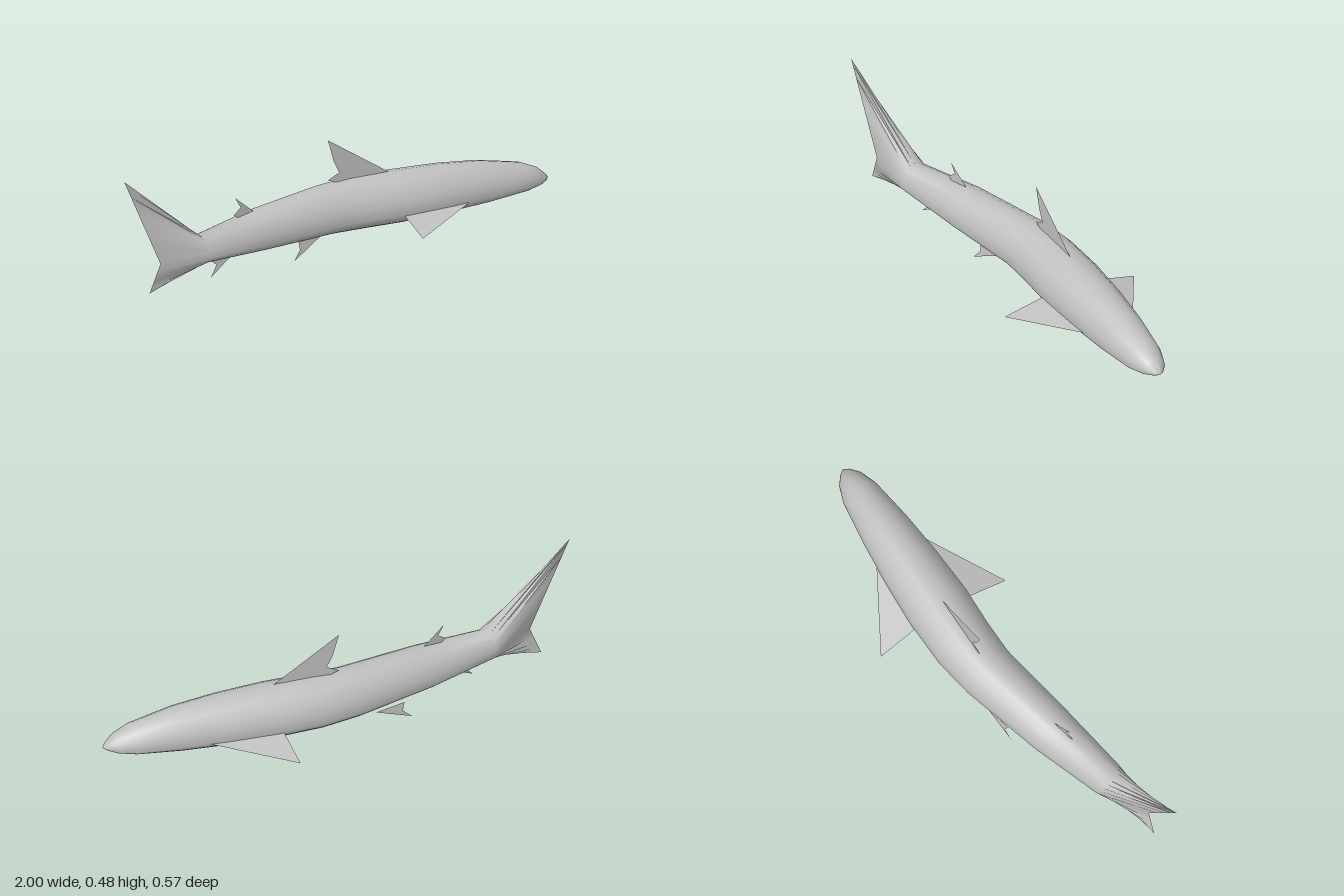
import * as THREE from 'three';
import { toCreasedNormals } from 'three/addons/utils/BufferGeometryUtils.js';

const SEGMENTS = 20;

// Body stations, nose to tail: [x, z, half width, top y, middle y, bottom y, turn]
const STATIONS = [
  [1.0, 0, 0, 0.112, 0.112, 0.112, 0],
  [0.985, 0, 0.022, 0.13, 0.11, 0.104, 0],
  [0.95, 0, 0.05, 0.16, 0.108, 0.095, 0],
  [0.88, 0, 0.075, 0.19, 0.107, 0.082, 0],
  [0.7, 0, 0.1, 0.226, 0.107, 0.065, 0],
  [0.52, 0, 0.117, 0.242, 0.107, 0.056, 0],
  [0.32, 0, 0.128, 0.248, 0.107, 0.051, 0],
  [0.14, 0, 0.123, 0.247, 0.107, 0.052, 0.08],
  [-0.005, 0.014, 0.113, 0.241, 0.107, 0.056, 0.22],
  [-0.34, 0.09, 0.097, 0.223, 0.108, 0.066, 0.27],
  [-0.63, 0.163, 0.07, 0.188, 0.112, 0.081, 0.29],
];

// Trailing edge of the tail
const UPPER_TIP = new THREE.Vector3(-1, 0.487, 0.236);
const FORK = new THREE.Vector3(-0.83, 0.12, 0.218);
const LOWER_TIP = new THREE.Vector3(-0.875, 0.006, 0.2125);

function bodyGeometry() {
  const pos = [], index = [];
  for (const [x, z, w, top, mid, bottom, turn] of STATIONS) {
    for (let j = 0; j < SEGMENTS; j++) {
      const a = (j / SEGMENTS) * Math.PI * 2, s = Math.sin(a), side = w * Math.cos(a);
      pos.push(x + side * Math.sin(turn), mid + s * (s > 0 ? top - mid : mid - bottom), z + side * Math.cos(turn));
    }
  }
  // Last ring closes flat onto the forked edge
  for (let j = 0; j < SEGMENTS; j++) {
    const s = Math.sin((j / SEGMENTS) * Math.PI * 2);
    pos.push(...FORK.clone().lerp(s > 0 ? UPPER_TIP : LOWER_TIP, Math.abs(s)).toArray());
  }
  for (let i = 0; i < STATIONS.length; i++) {
    for (let j = 0; j < SEGMENTS; j++) {
      const k = (j + 1) % SEGMENTS;
      const a = i * SEGMENTS + j, b = i * SEGMENTS + k, c = a + SEGMENTS, d = b + SEGMENTS;
      if (i > 0) index.push(a, b, c);
      index.push(b, d, c);
    }
  }
  const g = new THREE.BufferGeometry();
  g.setAttribute('position', new THREE.Float32BufferAttribute(pos, 3));
  g.setIndex(index);
  return toCreasedNormals(g, 1.0);
}

// Thin fin: a fan from its first corner
function finGeometry(points) {
  const index = [];
  for (let i = 1; i < points.length - 1; i++) index.push(0, i, i + 1);
  const g = new THREE.BufferGeometry();
  g.setAttribute('position', new THREE.Float32BufferAttribute(points.flat(), 3));
  g.setIndex(index);
  g.computeVertexNormals();
  return g;
}

export function createModel() {
  const model = new THREE.Group();
  const grey = new THREE.MeshStandardMaterial({ color: 0xc0c0c0, side: THREE.DoubleSide });
  grey.name = 'grey skin';
  const add = (name, geometry) => {
    const mesh = new THREE.Mesh(geometry, grey);
    mesh.name = name;
    model.add(mesh);
  };

  add('body and tail', bodyGeometry());

  // Fins on the back and under the tail
  add('dorsal fin', finGeometry([
    [0.3, 0.246, 0], [0.03, 0.418, 0], [0.055, 0.33, 0], [0.08, 0.28, 0], [0.03, 0.255, 0], [0.08, 0.235, 0]]));
  add('second dorsal fin', finGeometry([
    [-0.35, 0.22, 0.093], [-0.44, 0.292, 0.111], [-0.415, 0.25, 0.107], [-0.45, 0.225, 0.116], [-0.42, 0.205, 0.11]]));
  add('anal fin', finGeometry([
    [-0.45, 0.075, 0.118], [-0.575, 0.006, 0.16], [-0.54, 0.048, 0.142], [-0.58, 0.077, 0.152], [-0.5, 0.09, 0.132]]));

  // Pelvic pair follows the bend of the body
  add('left pelvic fin', finGeometry([
    [-0.1, 0.068, -0.06], [-0.255, 0.005, -0.04], [-0.215, 0.042, -0.045], [-0.225, 0.075, -0.038]]));
  add('right pelvic fin', finGeometry([
    [-0.05, 0.085, 0.108], [-0.2, 0.006, 0.146], [-0.168, 0.045, 0.135], [-0.175, 0.088, 0.13]]));

  // Pectoral pair
  for (const side of [-1, 1]) {
    add(side < 0 ? 'left pectoral fin' : 'right pectoral fin', finGeometry([
      [0.61, 0.108, side * 0.1], [0.29, 0.06, side * 0.287], [0.3, 0.106, side * 0.115]]));
  }
  return model;
}
